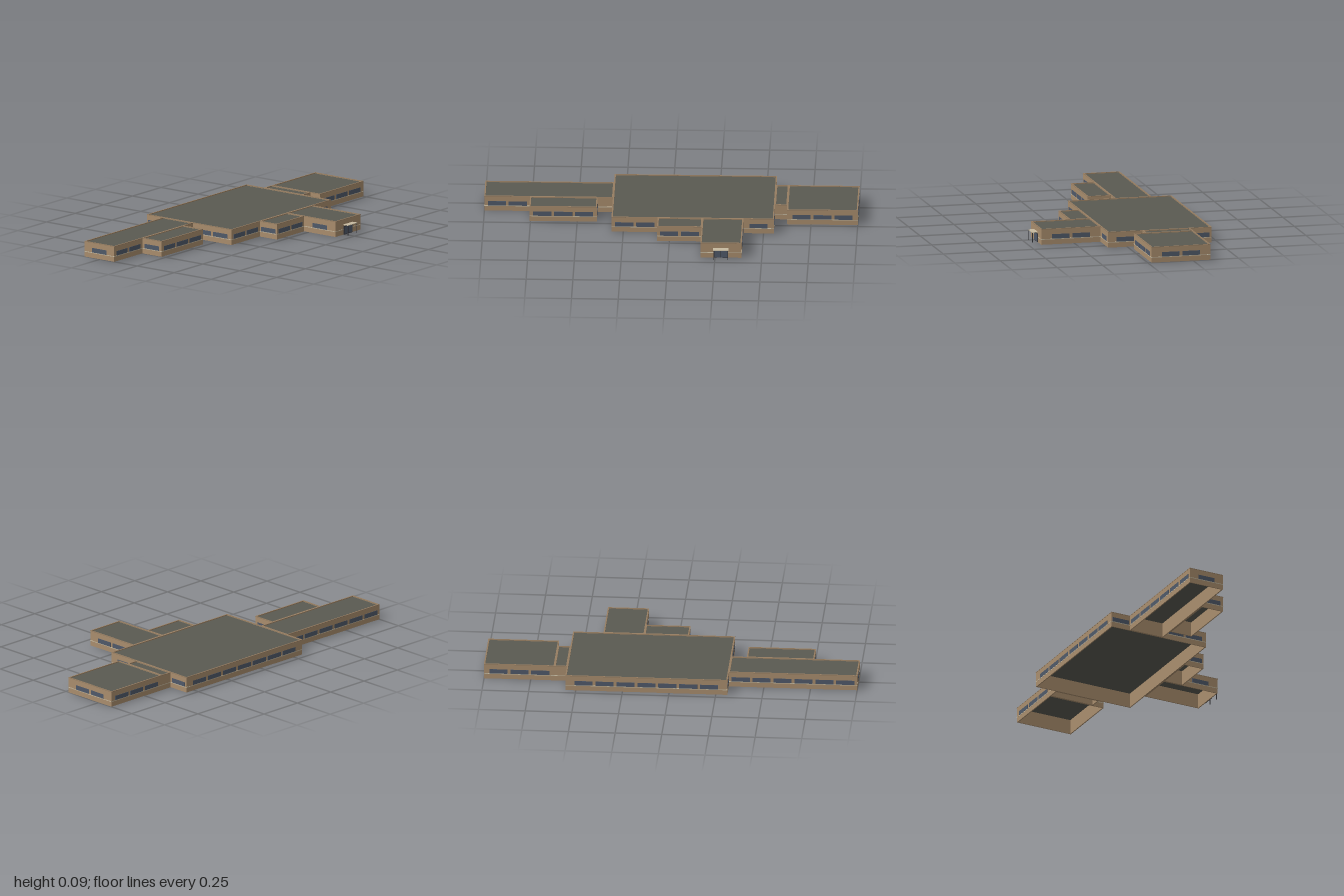
import * as THREE from 'three';

const mat = (name, color, side = THREE.FrontSide) => {
  const m = new THREE.MeshStandardMaterial({ color, side });
  m.name = name;
  return m;
};

export function createModel() {
  const brick = mat('brick', 0xa98d6d);
  const roofing = mat('roofing', 0x5a5a51, THREE.DoubleSide);
  const coping = mat('coping', 0x967d61);
  const glass = mat('glass', 0x4f5969);
  const stone = mat('stone', 0xc6baa0);
  const metal = mat('dark metal', 0x35353a);

  const model = new THREE.Group();
  model.name = 'schoolBuilding';
  const H = 0.085, T = 0.006;

  // Box given by its minimum and maximum corners
  const box = (parent, name, material, x0, x1, y0, y1, z0, z1) => {
    const mesh = new THREE.Mesh(new THREE.BoxGeometry(x1 - x0, y1 - y0, z1 - z0), material);
    mesh.position.set((x0 + x1) / 2, (y0 + y1) / 2, (z0 + z1) / 2);
    mesh.name = name;
    parent.add(mesh);
  };

  // Four upright strips around a rectangle, mitred front to back
  const ring = (parent, name, material, x0, x1, z0, z1, y0, y1, t) => {
    box(parent, name, material, x0, x1, y0, y1, z1 - t, z1);
    box(parent, name, material, x0, x1, y0, y1, z0, z0 + t);
    box(parent, name, material, x0, x0 + t, y0, y1, z0 + t, z1 - t);
    box(parent, name, material, x1 - t, x1, y0, y1, z0 + t, z1 - t);
  };

  // Blocks, open underneath: name, x0, x1, z0, z1
  const blocks = [
    ['mainHall', -0.312, 0.555, -0.465, 0.105],
    ['westWing', -1, -0.312, -0.355, -0.155],
    ['westAnnex', -0.755, -0.395, -0.155, -0.025],
    ['frontAnnex', -0.065, 0.173, 0.105, 0.22],
    ['entranceWing', 0.173, 0.392, 0.105, 0.432],
    ['eastLink', 0.555, 0.622, -0.345, -0.085],
    ['eastWing', 0.622, 1, -0.345, -0.02],
  ];
  for (const [name, x0, x1, z0, z1] of blocks) {
    const block = new THREE.Group();
    block.name = name;
    model.add(block);
    ring(block, 'wall', brick, x0, x1, z0, z1, 0, H - 0.003, T);
    ring(block, 'coping', coping, x0 - 0.001, x1 + 0.001, z0 - 0.001, z1 + 0.001, H - 0.003, H, T + 0.001);
    const roof = new THREE.Mesh(new THREE.PlaneGeometry(x1 - x0 - T, z1 - z0 - T), roofing);
    roof.rotation.x = -Math.PI / 2;
    roof.position.set((x0 + x1) / 2, H - 0.005, (z0 + z1) / 2);
    roof.name = 'roof';
    block.add(roof);
  }

  // Exposed wall stretches: facing direction, wall position, start, end
  const facades = [
    ['front', -0.155, -1, -0.755], ['front', -0.155, -0.395, -0.312],
    ['front', -0.025, -0.755, -0.395],
    ['front', 0.105, -0.312, -0.065], ['front', 0.105, 0.392, 0.555],
    ['front', 0.22, -0.065, 0.173], ['front', 0.432, 0.173, 0.392, true],
    ['front', -0.085, 0.555, 0.622], ['front', -0.02, 0.622, 1],
    ['back', -0.465, -0.312, 0.555], ['back', -0.355, -1, -0.312],
    ['back', -0.345, 0.555, 0.622], ['back', -0.345, 0.622, 1],
    ['right', 0.555, -0.085, 0.105], ['right', 0.555, -0.465, -0.345],
    ['right', 1, -0.345, -0.02], ['right', 0.392, 0.105, 0.432],
    ['right', -0.395, -0.155, -0.025],
    ['left', -1, -0.355, -0.155], ['left', -0.755, -0.155, -0.025],
    ['left', -0.312, -0.465, -0.355], ['left', -0.312, -0.155, 0.105],
    ['left', -0.065, 0.105, 0.22], ['left', 0.173, 0.22, 0.432],
    ['left', 0.622, -0.085, -0.02],
  ];
  const details = new THREE.Group();
  details.name = 'facadeDetails';
  model.add(details);

  // Thin plate standing proud of a wall
  const plate = (name, material, dir, pos, a, b, y0, y1, d) => {
    const out = dir === 'front' || dir === 'right' ? 1 : -1;
    const p0 = Math.min(pos, pos + out * d), p1 = Math.max(pos, pos + out * d);
    if (dir === 'front' || dir === 'back') box(details, name, material, a, b, y0, y1, p0, p1);
    else box(details, name, material, p0, p1, y0, y1, a, b);
  };

  // Evenly pitched windows centred on each stretch, above a stone sill band
  const W = 0.097, PITCH = 0.112;
  for (const [dir, pos, a, b, hasDoor] of facades) {
    plate('sillBand', stone, dir, pos, a, b, 0.027, 0.0305, 0.0012);
    const count = hasDoor ? 0 : Math.floor((b - a + 0.005) / PITCH);
    for (let i = 0; i < count; i++) {
      const c = (a + b) / 2 + (i - (count - 1) / 2) * PITCH;
      plate('window', glass, dir, pos, c - W / 2, c + W / 2, 0.0305, 0.055, 0.0015);
    }
  }

  // Entrance doors and canopy
  const entrance = new THREE.Group();
  entrance.name = 'entrance';
  model.add(entrance);
  box(entrance, 'doorFrame', metal, 0.243, 0.32, 0, 0.046, 0.432, 0.4345);
  for (const x of [0.247, 0.283]) box(entrance, 'doorGlass', glass, x, x + 0.033, 0.003, 0.043, 0.4345, 0.4355);
  box(entrance, 'canopy', stone, 0.24, 0.323, 0.053, 0.056, 0.432, 0.465);
  for (const x of [0.242, 0.318]) box(entrance, 'canopyPost', metal, x, x + 0.003, 0, 0.053, 0.461, 0.464);

  return model;
}
